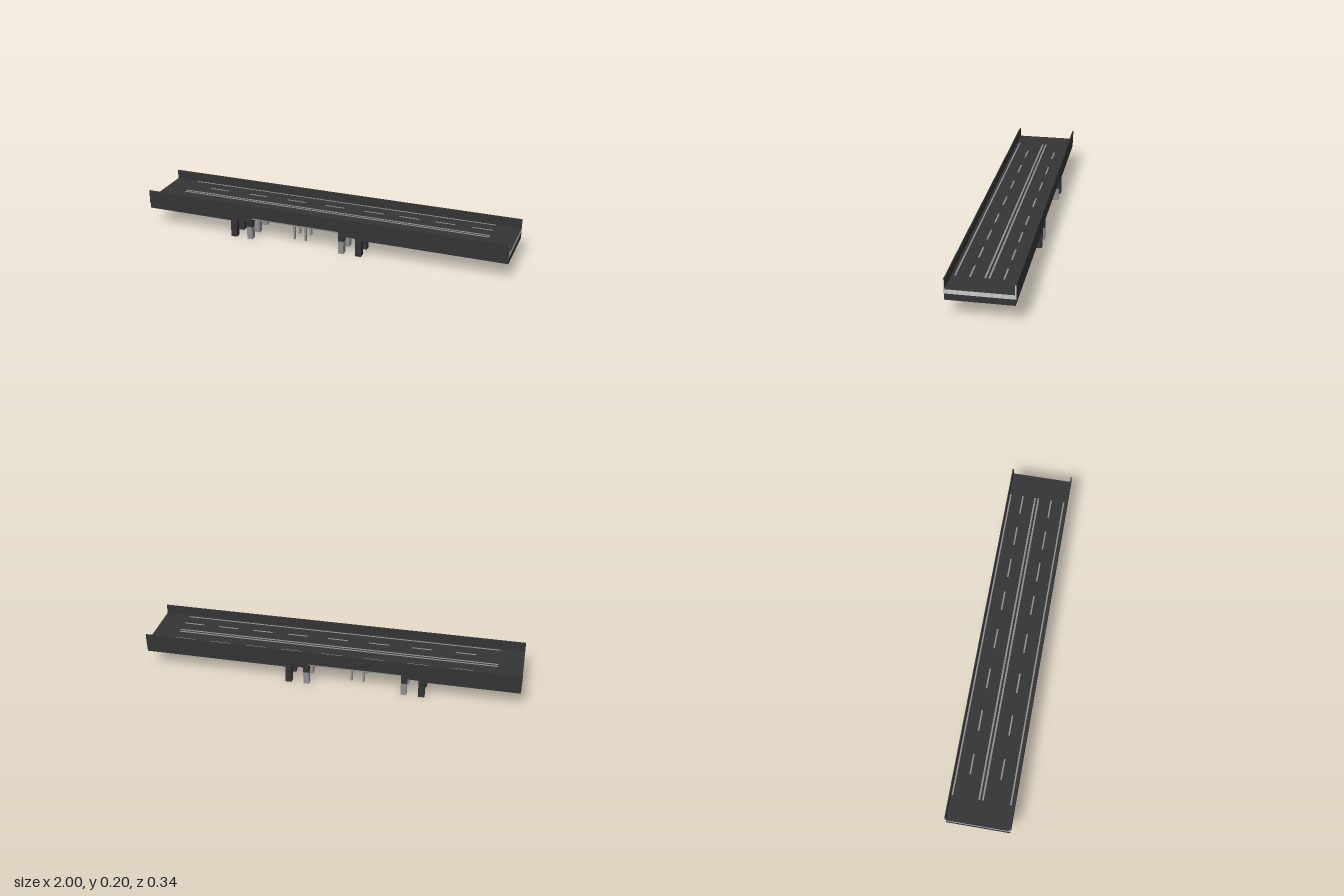
import * as THREE from 'three';

export function createModel() {
  const model = new THREE.Group();
  model.name = 'roadBridge';
  const mat = (name, color) => {
    const m = new THREE.MeshStandardMaterial({ color });
    m.name = name;
    return m;
  };
  const asphalt = mat('darkAsphalt', 0x343434);
  const concrete = mat('lightConcrete', 0xcacaca);
  const steel = mat('midGrey', 0x8f8f8f);
  const endCapped = [concrete, concrete, asphalt, asphalt, asphalt, asphalt];

  // Box given by its limits on each axis
  function box(name, material, x0, x1, y0, y1, z0, z1) {
    const mesh = new THREE.Mesh(new THREE.BoxGeometry(x1 - x0, y1 - y0, z1 - z0), material);
    mesh.position.set((x0 + x1) / 2, (y0 + y1) / 2, (z0 + z1) / 2);
    mesh.name = name;
    model.add(mesh);
    return mesh;
  }

  // Deck base: side profile with a raised centre span and a small arch at each pier pair
  const low = 0.093, top = 0.125, soffit = 0.123, arch = 0.1;
  const s = new THREE.Shape();
  s.moveTo(-1, low);
  function archOver(x0, x1) {
    s.lineTo(x0, low);
    s.quadraticCurveTo(x0, arch, x0 + 0.012, arch);
    s.lineTo(x1 - 0.012, arch);
    s.quadraticCurveTo(x1, arch, x1, low);
  }
  archOver(-0.477, -0.415);
  s.lineTo(-0.385, low);
  s.lineTo(-0.385, soffit);
  s.lineTo(0.106, soffit);
  s.lineTo(0.106, low);
  archOver(0.136, 0.2);
  s.lineTo(1, low);
  s.lineTo(1, top);
  s.lineTo(-1, top);
  const baseGeo = new THREE.ExtrudeGeometry(s, { depth: 0.328, bevelEnabled: false, curveSegments: 5 });
  baseGeo.translate(0, 0, -0.164);
  const base = new THREE.Mesh(baseGeo, asphalt);
  base.name = 'deckBase';
  model.add(base);

  // Road slab and side parapets, pale at the cut ends
  box('roadSlab', endCapped, -1, 1, top, 0.147, -0.162, 0.162);
  for (const side of [-1, 1]) {
    const z = side * 0.165;
    box('parapet', endCapped, -1, 1, top, 0.197, z - 0.003, z + 0.003);
  }

  // Road markings
  const stripe = (name, x0, x1, z, w) =>
    box(name, steel, x0, x1, 0.1465, 0.148, z - w / 2, z + w / 2);
  for (const z of [-0.155, 0.145]) stripe('edgeLine', -0.87, 0.865, z, 0.008);
  for (const z of [-0.017, 0.002]) stripe('centreLine', -0.87, 0.865, z, 0.009);
  const dashes = [-0.695, -0.46, -0.228, -0.002, 0.22, 0.418, 0.613, 0.81];
  for (const x of dashes) {
    for (const z of [-0.086, 0.074]) stripe('laneDash', x - 0.055, x + 0.055, z, 0.008);
  }

  // Pillars: dark outer rows, inner rows grey below a dark head
  for (const z of [-0.147, -0.047, 0.053, 0.148]) {
    const z0 = z - 0.0165, z1 = z + 0.0165;
    for (const x of [-0.51, 0.2]) box('outerPillar', asphalt, x, x + 0.033, 0, low + 0.001, z0, z1);
    for (const x of [-0.415, 0.106]) {
      box('innerPillar', steel, x, x + 0.03, 0, 0.07, z0, z1);
      box('innerPillarHead', asphalt, x, x + 0.03, 0.07, low + 0.001, z0, z1);
    }
  }

  // Underside of the centre span: grey panel with a grid of girders
  box('soffitPanel', steel, -0.385, 0.106, 0.121, 0.1235, -0.164, 0.164);
  for (let i = 0; i < 5; i++) {
    const z = -0.16 + i * 0.08;
    box('longGirder', steel, -0.385, 0.106, 0.116, 0.1215, z - 0.004, z + 0.004);
  }
  for (let i = 0; i < 8; i++) {
    const x = -0.381 + i * 0.0691;
    box('crossGirder', steel, x - 0.004, x + 0.004, 0.117, 0.1215, -0.16, 0.16);
  }

  // Slender posts beneath the centre span
  for (const x of [-0.174, -0.11]) {
    for (const z of [-0.077, 0, 0.077]) {
      box('slenderPost', steel, x - 0.005, x + 0.005, 0, 0.121, z - 0.008, z + 0.008);
    }
  }
  return model;
}
